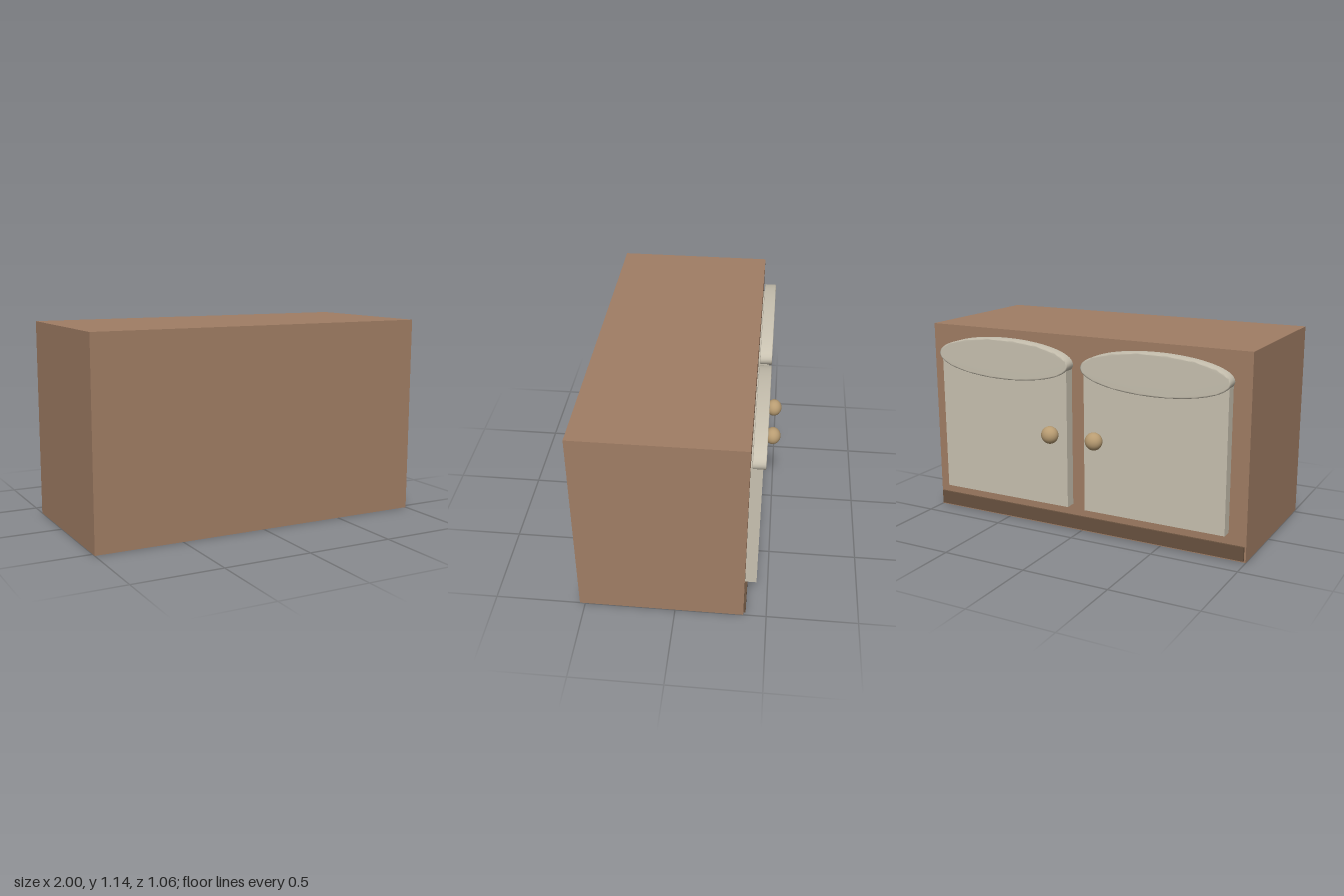
import * as THREE from 'three';
import { mergeVertices } from 'three/addons/utils/BufferGeometryUtils.js';

function material(name, color) {
  const m = new THREE.MeshStandardMaterial({ color });
  m.name = name;
  return m;
}

// Box given by its minimum and maximum corners
function block(name, min, max, mat) {
  const size = max.map((v, i) => v - min[i]);
  const mesh = new THREE.Mesh(new THREE.BoxGeometry(...size), mat);
  mesh.position.set(...max.map((v, i) => (v + min[i]) / 2));
  mesh.name = name;
  return mesh;
}

// Oval slab with normals shared between face and rim for a cushioned look
function ovalGeometry(rx, ry, depth) {
  const bevel = 0.006;
  const shape = new THREE.Shape();
  shape.absellipse(0, 0, rx - bevel, ry - bevel, 0, Math.PI * 2);
  const extruded = new THREE.ExtrudeGeometry(shape, {
    depth: depth - bevel, curveSegments: 32,
    bevelEnabled: true, bevelSize: bevel, bevelThickness: bevel / 2, bevelSegments: 1,
  });
  extruded.deleteAttribute('normal');
  extruded.deleteAttribute('uv');
  const geometry = mergeVertices(extruded, 1e-4);
  geometry.computeVertexNormals();
  return geometry.translate(0, 0, bevel / 2);
}

export function createModel() {
  const wood = material('brown wood', 0xa07d64);
  const darkWood = material('dark wood', 0x69523f);
  const cream = material('cream paint', 0xc8c1b0);
  const brass = material('brass', 0xb89c72);

  const model = new THREE.Group();
  model.name = 'cabinet';

  // Carcass and plinth strip
  model.add(block('carcass', [-1, 0, -0.375], [1, 1.14, 0.53], wood));
  model.add(block('plinth', [-0.99, 0.01, -0.387], [0.99, 0.09, -0.37], darkWood));

  // Mirrored doors, each with an oval top and a round knob
  const oval = ovalGeometry(0.435, 0.115, 0.069);
  const sphere = new THREE.SphereGeometry(0.05, 32, 20);
  for (const [label, side] of [['left', 1], ['right', -1]]) {
    const door = new THREE.Group();
    door.name = label + 'Door';
    const cx = side * 0.477;
    door.add(block('doorPanel', [cx - 0.422, 0.155, -0.437], [cx + 0.422, 0.965, -0.37], cream));

    const top = new THREE.Mesh(oval, cream);
    top.name = 'ovalTop';
    top.position.set(side * 0.475, 0.98, -0.452);
    door.add(top);

    const knob = new THREE.Mesh(sphere, brass);
    knob.name = 'knob';
    knob.scale.z = 0.91;
    knob.position.set(side * 0.14, 0.585, -0.482);
    door.add(knob);
    model.add(door);
  }
  return model;
}
